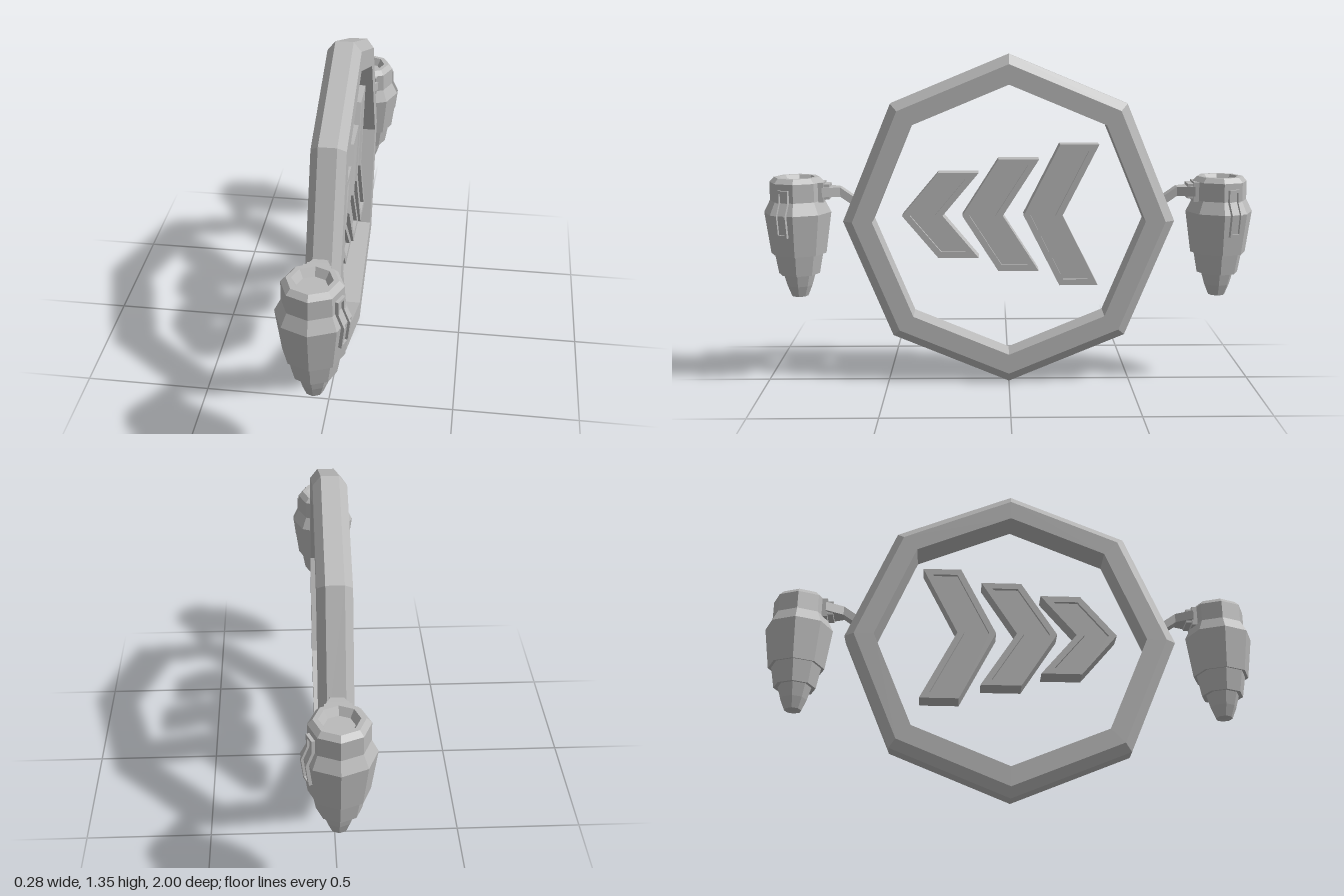
import * as THREE from 'three';

const grey = new THREE.MeshStandardMaterial({ color: 0xbababa, flatShading: true });
grey.name = 'grey';

function part(name, geometry, parent) {
  const mesh = new THREE.Mesh(geometry, grey);
  mesh.name = name;
  parent.add(mesh);
  return mesh;
}

const lathe = (pts) =>
  new THREE.LatheGeometry(pts.map(([r, y]) => new THREE.Vector2(r, y)), 8);

// Extrudes an outline symmetrically about its own plane
function extrude(points, depth, hole) {
  const shape = new THREE.Shape(points.map(([x, y]) => new THREE.Vector2(x, y)));
  if (hole) shape.holes.push(new THREE.Path(hole.map(([x, y]) => new THREE.Vector2(x, y))));
  return new THREE.ExtrudeGeometry(shape, { depth, bevelEnabled: false }).translate(0, 0, -depth / 2);
}

// Chevron outline pointing to +z; inset moves every edge inwards
function chevron(tip, notch, h, inset) {
  const run = 0.147, k = run / h, d = inset * Math.sqrt(1 + k * k);
  const t = tip - d, n = notch + d, y = h - inset;
  return [[t, 0], [t - k * y, y], [n - k * y, y], [n, 0], [n - k * y, -y], [t - k * y, -y]];
}

// Distance from pod axis to a flat side at height y
function sideDistance(y) {
  const keys = [[0.54, 0.113], [0.71, 0.137], [0.76, 0.112], [0.835, 0.112]];
  for (let i = 0; i < 3; i++) {
    const [y0, r0] = keys[i], [y1, r1] = keys[i + 1];
    if (y <= y1) return (r0 + (r1 - r0) * (y - y0) / (y1 - y0)) * Math.cos(Math.PI / 8);
  }
  return 0.1035;
}

// Strip that follows the pod's side between two heights
function strip(lo, hi, lift, width) {
  const ys = [lo, 0.71, 0.76, hi].filter((y) => y >= lo && y <= hi);
  const outer = ys.map((y) => [sideDistance(y) + lift, y]);
  const inner = ys.map((y) => [sideDistance(y) - 0.01, y]).reverse();
  return extrude([...outer, ...inner], width);
}

function makePod(s) {
  const pod = new THREE.Group();
  pod.name = s > 0 ? 'frontPod' : 'backPod';

  // Stepped eight-sided body with a recessed top
  const body = part('podBody', lathe([
    [0, 0.365], [0.022, 0.365], [0.034, 0.36], [0.052, 0.405], [0.067, 0.458],
    [0.084, 0.455], [0.1, 0.543], [0.113, 0.54], [0.137, 0.71], [0.112, 0.76],
    [0.112, 0.835], [0.093, 0.855], [0.074, 0.855], [0.056, 0.825], [0, 0.825],
  ]), pod);
  body.position.z = s * 0.863;

  // Framed slot on the outer left face
  const slot = new THREE.Group();
  slot.name = 'sideSlot';
  slot.position.z = s * 0.863;
  slot.rotation.y = -s * Math.PI / 8;
  pod.add(slot);
  part('slotFloor', strip(0.62, 0.81, 0.003, 0.036), slot);
  for (const side of [-1, 1]) {
    part('slotRail', strip(0.62, 0.81, 0.013, 0.009), slot).position.z = side * 0.02;
  }
  part('slotEnd', strip(0.62, 0.632, 0.013, 0.036), slot);
  part('slotEnd', strip(0.798, 0.81, 0.013, 0.036), slot);

  // Clamp and bent, tapering arm towards the ring
  const mount = new THREE.Group();
  mount.name = 'mount';
  if (s < 0) mount.rotation.y = Math.PI;
  pod.add(mount);
  part('clampPlate', new THREE.BoxGeometry(0.1, 0.08, 0.03), mount).position.set(0, 0.795, 0.765);
  part('clampJaw', new THREE.BoxGeometry(0.08, 0.06, 0.03), mount).position.set(0, 0.797, 0.742);
  const sections = [[0.625, 0.752, 0.025], [0.685, 0.794, 0.025], [0.755, 0.797, 0.058]];
  const arm = new THREE.BoxGeometry(2, 2, 2, 1, 1, 2);
  const p = arm.attributes.position;
  for (let i = 0; i < p.count; i++) {
    const [z, y, w] = sections[Math.round(p.getZ(i)) + 1];
    p.setXYZ(i, p.getX(i) * w, y + p.getY(i) * 0.019, z);
  }
  arm.computeVertexNormals();
  part('arm', arm, mount);
  return pod;
}

export function createModel() {
  const model = new THREE.Group();
  model.name = 'chevronRing';

  // Octagonal ring with a bevelled rim
  const ring = part('ring', lathe([
    [0.555, -0.066], [0.636, -0.066], [0.675, -0.035], [0.675, 0.035],
    [0.636, 0.066], [0.555, 0.066], [0.555, -0.066],
  ]).rotateZ(Math.PI / 2), model);
  ring.position.y = 0.675;

  // Three growing chevrons, each a frame around a sunken panel
  [[0.435, 0.27, 0.175], [0.19, 0.025, 0.23], [-0.06, -0.218, 0.29]].forEach(([tip, notch, h], i) => {
    const group = new THREE.Group();
    group.name = 'chevron' + (i + 1);
    group.position.y = 0.698;
    group.rotation.y = -Math.PI / 2;
    model.add(group);
    const inner = chevron(tip, notch, h, 0.025);
    part('chevronFrame', extrude(chevron(tip, notch, h, 0), 0.085, inner), group);
    part('chevronPanel', extrude(inner, 0.055), group);
  });

  model.add(makePod(1), makePod(-1));
  return model;
}
